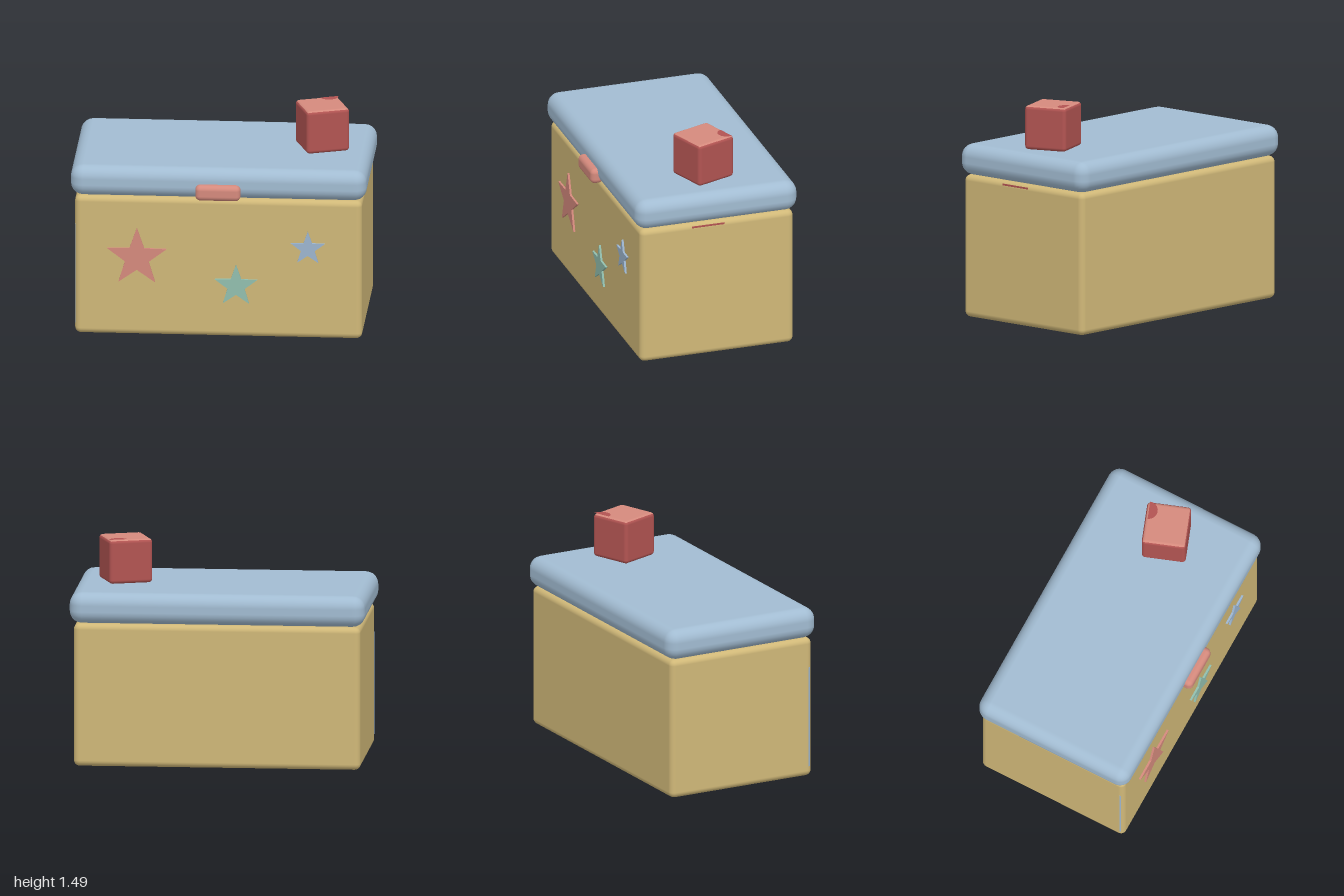
import * as THREE from 'three';
import { RoundedBoxGeometry } from 'three/addons/geometries/RoundedBoxGeometry.js';

const paint = (name, color) => {
  const m = new THREE.MeshStandardMaterial({ color });
  m.name = name;
  return m;
};

export function createModel() {
  const group = new THREE.Group();
  const wood = paint('wood', 0xd0b878);
  const lidBlue = paint('lidBlue', 0xa2bcd2);
  const pink = paint('pink', 0xd58a7d);
  const red = paint('red', 0xb25452);
  const teal = paint('teal', 0x92bfae);
  const starBlue = paint('starBlue', 0x9db6d0);

  const add = (name, geometry, material, x, y, z) => {
    const mesh = new THREE.Mesh(geometry, material);
    mesh.name = name;
    mesh.position.set(x, y, z);
    group.add(mesh);
    return mesh;
  };

  // Chest, overhanging lid and lid handle
  add('chestBody', new RoundedBoxGeometry(1.94, 0.975, 1.09, 3, 0.04), wood, 0, 0.4875, -0.025);
  add('lid', new RoundedBoxGeometry(2, 0.212, 1.15, 3, 0.085), lidBlue, 0, 1.081, -0.025);
  add('handle', new RoundedBoxGeometry(0.305, 0.108, 0.09, 3, 0.035), pink, 0, 1.032, 0.553);

  // Turned toy block: red sides, pink top with a red worn corner
  const block = new THREE.Group();
  block.name = 'toyBlock';
  block.position.set(0.665, 1.337, -0.025);
  block.rotation.y = 0.35;
  const cube = new THREE.Mesh(
    new RoundedBoxGeometry(0.3, 0.3, 0.3, 3, 0.025),
    [red, red, pink, red, red, red]
  );
  cube.name = 'blockCube';
  const patchShape = new THREE.Shape();
  patchShape.absellipse(0, 0, 0.062, 0.06, Math.PI, Math.PI * 2, false);
  const patch = new THREE.Mesh(new THREE.ShapeGeometry(patchShape, 8), red);
  patch.name = 'blockPatch';
  patch.rotation.x = -Math.PI / 2;
  patch.position.set(0.085, 0.152, -0.132);
  block.add(cube, patch);
  group.add(block);

  // Five-pointed stars on the front
  const starGeometry = (r) => {
    const points = [];
    for (let i = 0; i < 10; i++) {
      const a = Math.PI / 2 + (i * Math.PI) / 5;
      const d = i % 2 ? r * 0.4 : r;
      points.push(new THREE.Vector2(Math.cos(a) * d, Math.sin(a) * d));
    }
    return new THREE.ExtrudeGeometry(new THREE.Shape(points), { depth: 0.025, bevelEnabled: false });
  };
  add('largeStar', starGeometry(0.211), pink, -0.55, 0.549, 0.509);
  add('middleStar', starGeometry(0.151), teal, 0.12, 0.363, 0.509);
  add('smallStar', starGeometry(0.121), starBlue, 0.605, 0.638, 0.509);

  // Small paint marks on the chest sides
  add('sideMark', new THREE.BoxGeometry(0.004, 0.012, 0.23), red, 0.97, 0.951, 0.04);
  const edge = add('edgeMark', new THREE.BoxGeometry(0.012, 0.7, 0.004), starBlue, -0.9672, 0.42, 0.4937);
  edge.rotation.y = -1.22;

  return group;
}
